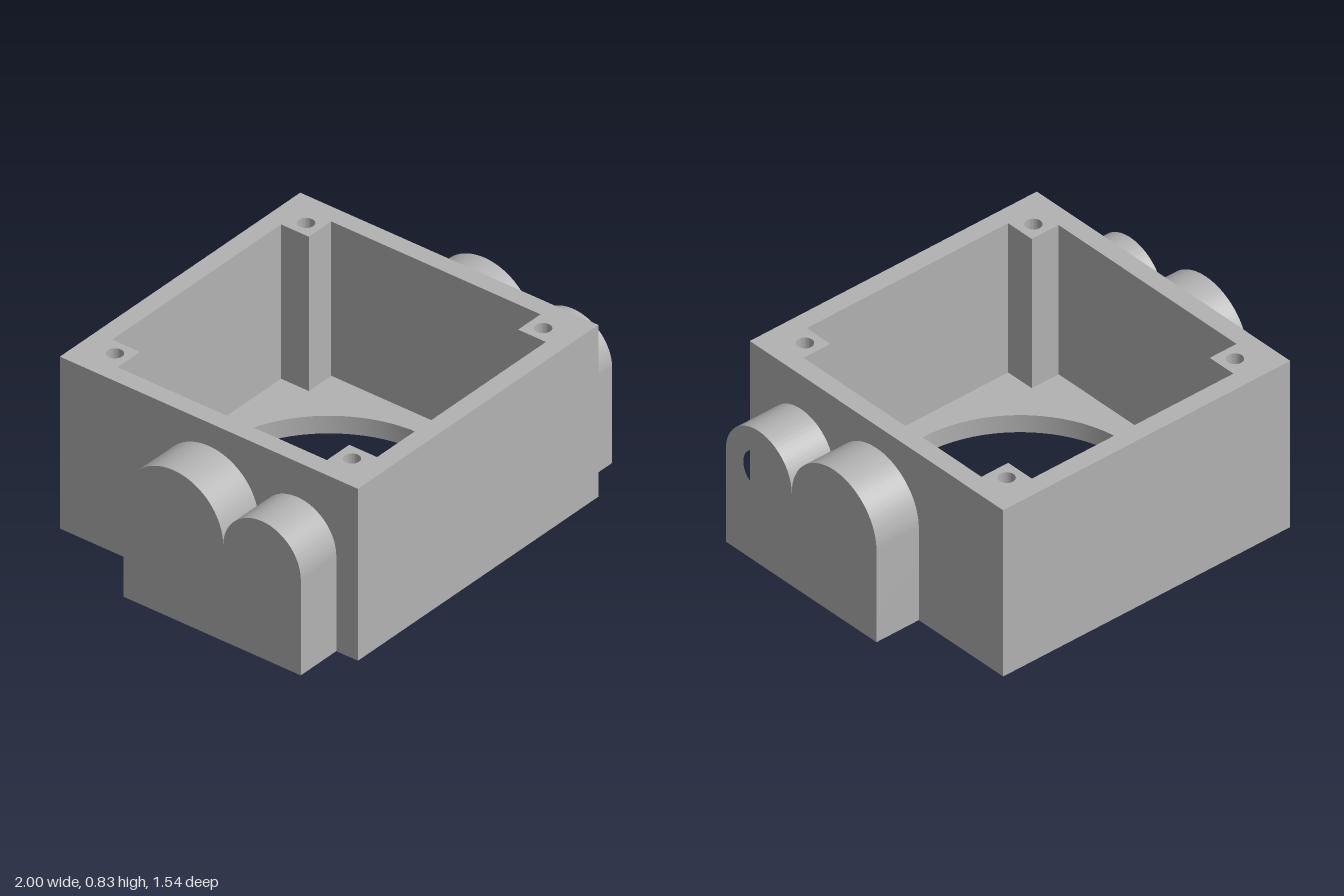
import * as THREE from 'three';
import { toCreasedNormals } from 'three/addons/utils/BufferGeometryUtils.js';

const HALF = 0.772, HEIGHT = 0.83, FLOOR = 0.085;
const INNER = 0.686, POST = 0.542; // cavity half width, inner edge of corner posts
const LUG_Y = 0.46, LUG_HOLE = 0.094;

function circle(x, y, r) {
  return new THREE.Path().absarc(x, y, r, 0, Math.PI * 2, true);
}

function polygon(points, Type = THREE.Shape) {
  return new Type(points.map(([x, y]) => new THREE.Vector2(x, y)));
}

function extrude(shape, depth) {
  const geometry = new THREE.ExtrudeGeometry(shape, { depth, bevelEnabled: false, curveSegments: 40 });
  return toCreasedNormals(geometry, 0.5);
}

function square() {
  return polygon([[-HALF, -HALF], [HALF, -HALF], [HALF, HALF], [-HALF, HALF]]);
}

export function createModel() {
  const group = new THREE.Group();
  group.name = 'housing';
  const grey = new THREE.MeshStandardMaterial({ color: 0xb2b2b2 });
  grey.name = 'machined grey';

  const add = (name, geometry) => {
    const mesh = new THREE.Mesh(geometry, grey);
    mesh.name = name;
    group.add(mesh);
  };

  // Floor plate with its large round opening
  const floor = square();
  floor.holes.push(circle(0, 0, 0.581));
  add('floor', extrude(floor, FLOOR).rotateX(-Math.PI / 2));

  // Walls and corner posts around a cross-shaped cavity, with screw holes
  const walls = square();
  const a = INNER, b = POST;
  walls.holes.push(polygon([
    [-b, -a], [-b, -b], [-a, -b], [-a, b], [-b, b], [-b, a],
    [b, a], [b, b], [a, b], [a, -b], [b, -b], [b, -a],
  ], THREE.Path));
  for (const x of [-1, 1]) for (const z of [-1, 1]) {
    walls.holes.push(circle(x * 0.614, z * 0.614, 0.037));
  }
  add('walls', extrude(walls, HEIGHT - FLOOR).rotateX(-Math.PI / 2).translate(0, FLOOR, 0));

  // Side lugs: two rounded humps meeting in a cusp, each with a blind bore
  const lug = new THREE.Shape();
  lug.moveTo(-0.258, 0);
  lug.lineTo(-0.258, LUG_Y);
  lug.absarc(0, LUG_Y, 0.258, Math.PI, 0, true);
  lug.absarc(0.459, LUG_Y, 0.201, Math.PI, 0, true);
  lug.lineTo(0.66, 0);
  lug.closePath();
  lug.holes.push(circle(0, LUG_Y, LUG_HOLE), circle(0.459, LUG_Y, LUG_HOLE));
  const lugGeometry = extrude(lug, 1 - HALF).rotateY(-Math.PI / 2);
  add('leftLug', lugGeometry.clone().translate(1, 0, 0));
  add('rightLug', lugGeometry.clone().translate(-HALF, 0, 0));

  return group;
}
